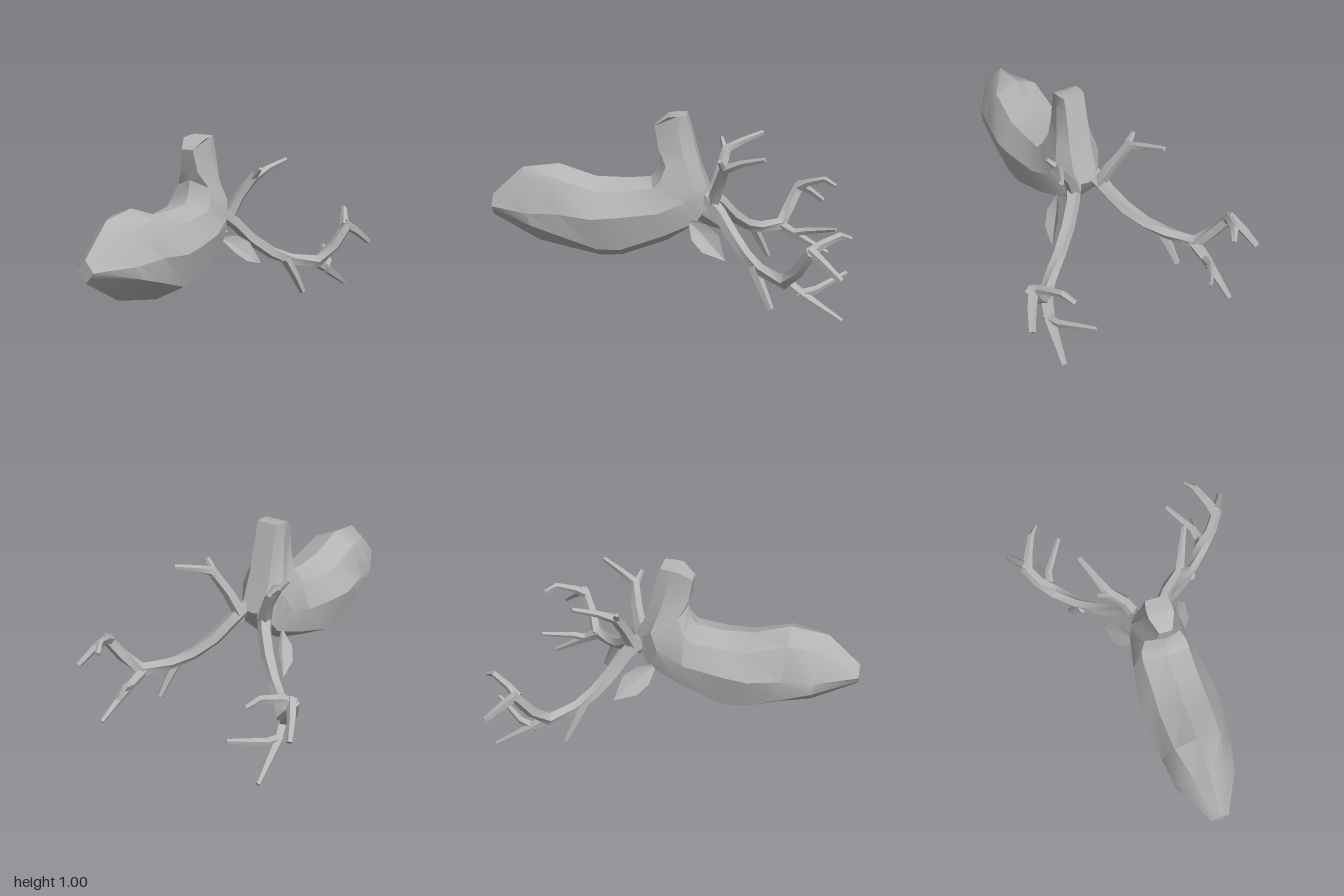
import * as THREE from 'three';
import { toCreasedNormals } from 'three/addons/utils/BufferGeometryUtils.js';

// Closed skin through rings of equal point count, capped at both ends
function loft(rings, crease) {
  const n = rings[0].length, pos = [];
  const tri = (a, b, c) => [a, b, c].forEach((p) => pos.push(...p));
  for (let i = 0; i < rings.length - 1; i++) {
    for (let j = 0; j < n; j++) {
      const k = (j + 1) % n, A = rings[i], B = rings[i + 1];
      tri(A[j], B[j], A[k]);
      tri(B[j], B[k], A[k]);
    }
  }
  const centre = (r) => [0, 1, 2].map((c) => r.reduce((s, p) => s + p[c], 0) / n);
  const first = rings[0], last = rings[rings.length - 1];
  const c0 = centre(first), c1 = centre(last);
  for (let j = 0; j < n; j++) {
    const k = (j + 1) % n;
    tri(c0, first[j], first[k]);
    tri(c1, last[k], last[j]);
  }
  const g = new THREE.BufferGeometry();
  g.setAttribute('position', new THREE.Float32BufferAttribute(pos, 3));
  return toCreasedNormals(g, crease);
}

// Tapering five-sided branch; each path point is [x, y, z, radius]
function branch(path, sides = 5) {
  const P = path.map((p) => new THREE.Vector3(p[0], p[1], p[2]));
  const ref = new THREE.Vector3(1, 0, 0);
  const rings = path.map((p, i) => {
    const t = P[Math.min(i + 1, P.length - 1)].clone().sub(P[Math.max(i - 1, 0)]).normalize();
    const u = ref.clone().cross(t).normalize();
    const v = u.clone().cross(t);
    return Array.from({ length: sides }, (_, k) => {
      const a = (k / sides) * Math.PI * 2;
      return P[i].clone().addScaledVector(u, Math.cos(a) * p[3])
        .addScaledVector(v, Math.sin(a) * p[3]).toArray();
    });
  });
  return loft(rings, 0.6);
}

// Neck and head sections: [x, y, z] for keel, lower edge, flank, shoulder, ridge
const neckSections = [
  [[0, 0.4, 1], [0.025, 0.43, 1], [0.05, 0.46, 1], [0.025, 0.49, 1], [0, 0.52, 1]],
  [[0, 0.25, 0.74], [0.165, 0.39, 0.76], [0.167, 0.46, 0.77], [0.08, 0.62, 0.8], [0, 0.685, 0.82]],
  [[0, 0.21, 0.58], [0.175, 0.33, 0.58], [0.2, 0.47, 0.6], [0.13, 0.655, 0.61], [0, 0.71, 0.61]],
  [[0, 0.165, 0.385], [0.175, 0.26, 0.38], [0.222, 0.45, 0.41], [0.14, 0.59, 0.39], [0, 0.64, 0.4]],
  [[0, 0.17, 0.26], [0.172, 0.26, 0.25], [0.217, 0.46, 0.28], [0.135, 0.59, 0.24], [0, 0.635, 0.22]],
  [[0, 0.265, 0], [0.15, 0.34, 0.01], [0.185, 0.48, 0.04], [0.135, 0.61, 0.07], [0, 0.645, 0.09]],
];
const headSections = [
  [[0, 0.37, -0.17], [0.11, 0.41, -0.17], [0.155, 0.54, -0.11], [0.13, 0.65, 0.03], [0, 0.68, 0.06]],
  [[0, 0.53, -0.26], [0.07, 0.54, -0.26], [0.135, 0.64, -0.15], [0.1, 0.73, 0], [0, 0.77, 0.037]],
  [[0, 0.72, -0.19], [0.065, 0.72, -0.19], [0.1, 0.78, -0.1], [0.055, 0.82, 0.045], [0, 0.83, 0.045]],
  [[0, 0.92, -0.138], [0.06, 0.92, -0.138], [0.078, 0.94, -0.06], [0.036, 0.945, 0.065], [0, 0.945, 0.065]],
  [[0, 1.01, -0.11], [0.06, 1.01, -0.11], [0.07, 1.005, -0.06], [0.07, 1, -0.01], [0, 1, -0.01]],
];

// Antler branches on the left side
const antlerParts = {
  mainBeam: [[0.06, 0.55, -0.22, 0.045], [0.11, 0.47, -0.3, 0.04], [0.18, 0.37, -0.37, 0.04],
    [0.27, 0.285, -0.45, 0.036], [0.36, 0.235, -0.53, 0.036], [0.47, 0.215, -0.66, 0.04],
    [0.55, 0.31, -0.72, 0.035], [0.605, 0.43, -0.78, 0.032]],
  browTine: [[0.08, 0.51, -0.26, 0.04], [0.13, 0.64, -0.3, 0.034], [0.21, 0.755, -0.33, 0.03],
    [0.25, 0.795, -0.42, 0.02], [0.305, 0.835, -0.54, 0.014]],
  browSpur: [[0.19, 0.73, -0.33, 0.025], [0.265, 0.81, -0.3, 0.012]],
  middleTine: [[0.34, 0.25, -0.49, 0.032], [0.38, 0.14, -0.54, 0.026], [0.41, 0.03, -0.59, 0.018]],
  lowerTine: [[0.46, 0.22, -0.65, 0.035], [0.49, 0.15, -0.75, 0.03], [0.515, 0.02, -0.96, 0.014]],
  innerTine: [[0.49, 0.15, -0.72, 0.028], [0.47, 0.175, -0.82, 0.022], [0.35, 0.23, -0.99, 0.012]],
  crownTine: [[0.59, 0.42, -0.77, 0.032], [0.56, 0.46, -0.83, 0.024], [0.51, 0.495, -0.93, 0.02],
    [0.47, 0.465, -0.99, 0.014]],
  outerTine: [[0.59, 0.44, -0.77, 0.03], [0.64, 0.38, -0.85, 0.024], [0.68, 0.31, -0.93, 0.018]],
};

// Folded leaf: upper edge, sunken middle and lower edge run from base to tip
function earGeometry() {
  const rows = [
    [[0.12, 0.43, -0.14], [0.115, 0.415, -0.14], [0.12, 0.4, -0.13]],
    [[0.16, 0.42, -0.23], [0.155, 0.365, -0.2], [0.19, 0.335, -0.15]],
    [[0.2, 0.37, -0.3], [0.2, 0.31, -0.26], [0.235, 0.28, -0.21]],
    [[0.258, 0.24, -0.34], [0.256, 0.24, -0.34], [0.256, 0.242, -0.335]],
  ];
  const pos = rows.flat(2), index = [];
  for (let i = 0; i < rows.length - 1; i++) {
    for (let j = 0; j < 2; j++) {
      const a = i * 3 + j, b = a + 3;
      index.push(a, b, a + 1, b, b + 1, a + 1);
    }
  }
  const g = new THREE.BufferGeometry();
  g.setAttribute('position', new THREE.Float32BufferAttribute(pos, 3));
  g.setIndex(index);
  return toCreasedNormals(g, 0.6);
}

export function createModel() {
  const model = new THREE.Group();
  model.name = 'mountedStagHead';
  const grey = new THREE.MeshStandardMaterial({ color: 0xb4b4b4, side: THREE.DoubleSide });
  grey.name = 'grey';
  const add = (parent, name, geometry) => {
    const mesh = new THREE.Mesh(geometry, grey);
    mesh.name = name;
    parent.add(mesh);
  };

  // Neck and head as one skin, each half section mirrored into a full ring
  const rings = [...neckSections, ...headSections].map((half) => [
    ...half,
    ...half.slice(1, 4).reverse().map(([x, y, z]) => [-x, y, z]),
  ]);
  add(model, 'neckAndHead', loft(rings, 0.55));

  // Antlers and ears, mirrored to both sides
  for (const side of [1, -1]) {
    const group = new THREE.Group();
    group.name = side > 0 ? 'leftAntlerAndEar' : 'rightAntlerAndEar';
    group.scale.x = side;
    for (const [name, path] of Object.entries(antlerParts)) add(group, name, branch(path));
    add(group, 'ear', earGeometry());
    model.add(group);
  }
  return model;
}
